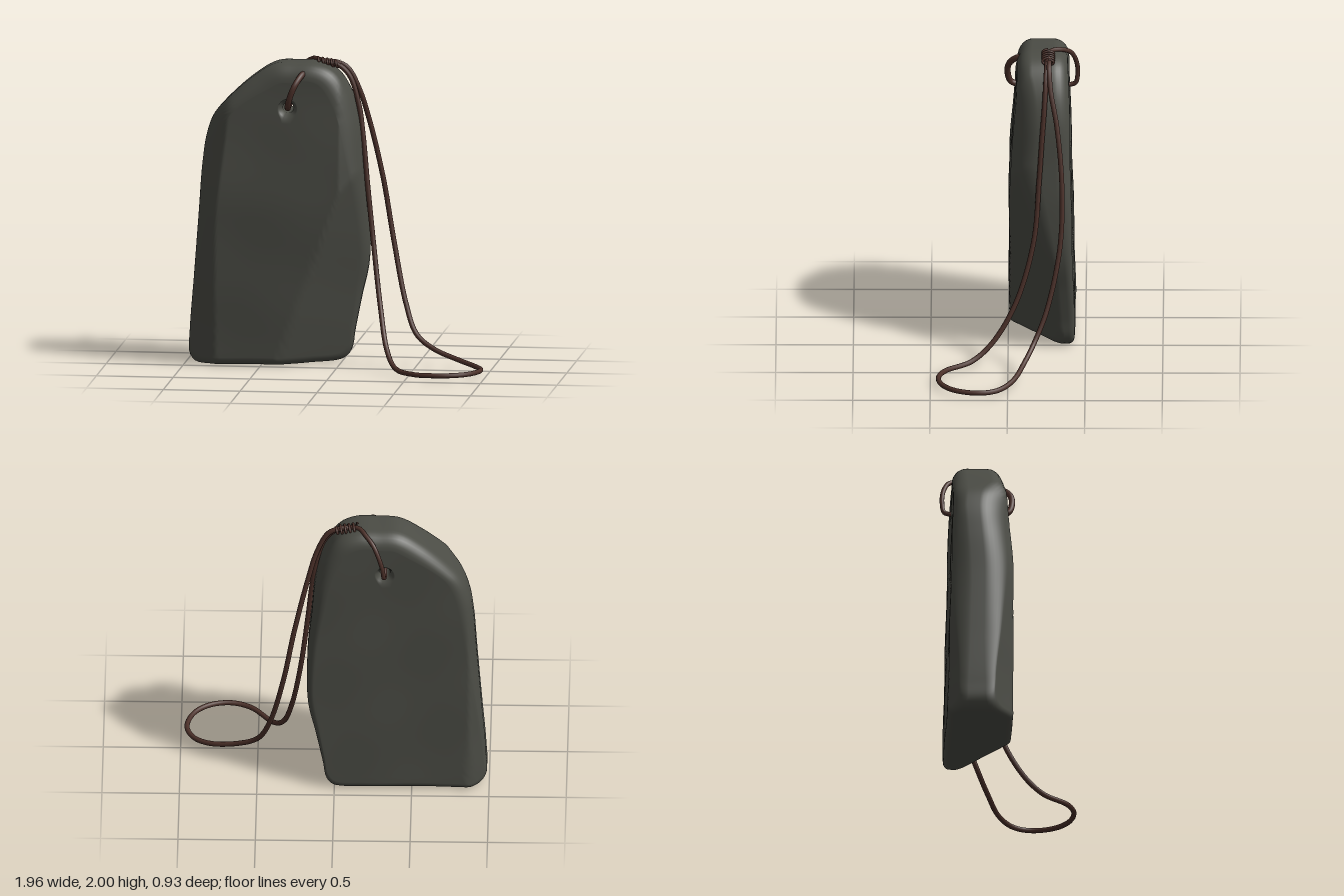
import * as THREE from 'three';

const V = (a) => a.map((p) => new THREE.Vector3(...p));
const HOLE = { x: -0.325, y: 1.69, r: 0.058, inner: 0.035 };
const smooth = THREE.MathUtils.smoothstep;

// Surface rules of the stone
const bevelAt = (y, front) => 0.05 + (front ? 0.07 : 0.045) * smooth(y, 0.05, 1.0);
const bump = (x, y) => 0.004 * Math.sin(7 * x + 4 * y) * Math.sin(6 * y - 3 * x + 1);
const frontZ = (x, y) => {
  const facet = 0.82 * (0.94 * (x + 0.4) - 0.34 * y); // slanted cut, lower corner
  const shoulder = 0.45 * (x - 0.01); // gentle fall to the cord side
  const side = 0.75 * (-x - 0.8 + 0.08 * smooth(y, 0.8, 1.7)); // chamfer along the other edge
  return -0.005 - 0.05 * smooth(y, 1.0, 1.9) - Math.max(0, facet, shoulder, side) + bump(x, y);
};
const backZ = (x, y) => -0.435 + 0.025 * y + 0.7 * Math.max(0, -x - 0.87) + bump(x + 2, y);

// Stone slab: rings run from the hole, over the front, round the rim, over the back and home
function stoneGeometry() {
  const outline = new THREE.CatmullRomCurve3(V([
    [-0.5, 0.012, 0], [-0.8, 0.008, 0], [-0.94, 0.012, 0], [-0.98, 0.06, 0], [-0.98, 0.2, 0],
    [-0.95, 0.6, 0], [-0.92, 1.0, 0], [-0.9, 1.3, 0], [-0.875, 1.48, 0], [-0.83, 1.61, 0],
    [-0.76, 1.7, 0], [-0.575, 1.87, 0], [-0.42, 1.965, 0], [-0.28, 1.975, 0], [-0.14, 1.97, 0],
    [-0.03, 1.92, 0], [0.06, 1.79, 0], [0.12, 1.6, 0], [0.15, 1.3, 0], [0.175, 1.0, 0],
    [0.17, 0.65, 0], [0.12, 0.42, 0], [0.075, 0.2, 0], [0.05, 0.07, 0], [0.0, 0.015, 0],
    [-0.2, 0.006, 0],
  ]), true).getSpacedPoints(200).slice(0, -1).reverse(); // counterclockwise from the front

  // Profile steps: f = travel from hole to bevel, e = angle round the bevel
  const half = [{ hole: 1 }];
  for (let i = 0; i <= 36; i++) half.push({ f: i / 36 });
  for (let i = 1; i <= 7; i++) half.push({ f: 1, e: (i / 7) * Math.PI / 2 });
  const steps = [
    ...half.map((s) => ({ ...s, front: true })),
    ...half.slice().reverse().map((s) => ({ ...s, front: false })),
  ];

  const pos = [], index = [], n = outline.length, m = steps.length;
  for (const p of outline) {
    const dx = p.x - HOLE.x, dy = p.y - HOLE.y, D = Math.hypot(dx, dy);
    const thickness = Math.max(0.02, frontZ(p.x, p.y) - backZ(p.x, p.y));
    for (const s of steps) {
      const e = s.e || 0, b = bevelAt(p.y, s.front);
      const r = s.hole ? HOLE.inner
        : e ? D - b * (1 - Math.sin(e)) : HOLE.r + (D - b - HOLE.r) * s.f;
      const x = HOLE.x + dx / D * r, y = HOLE.y + dy / D * r;
      const sink = (s.hole ? 0.035 : 0) + Math.min(b, 0.1, 0.35 * thickness) * (1 - Math.cos(e));
      pos.push(x, y, s.front ? frontZ(x, y) - sink : backZ(x, y) + sink);
    }
  }
  for (let i = 0; i < n; i++) {
    for (let j = 0; j < m; j++) {
      const i2 = (i + 1) % n, j2 = (j + 1) % m;
      const a = i * m + j, b = i * m + j2, c = i2 * m + j2, d = i2 * m + j;
      index.push(a, b, c, a, c, d);
    }
  }
  const g = new THREE.BufferGeometry();
  g.setAttribute('position', new THREE.Float32BufferAttribute(pos, 3));
  g.setIndex(index);
  g.computeVertexNormals();
  return g;
}

export function createModel() {
  const group = new THREE.Group();
  const stone = new THREE.MeshStandardMaterial({ color: 0x4b4c45 });
  stone.name = 'darkStone';
  const leather = new THREE.MeshStandardMaterial({ color: 0x4b3029 });
  leather.name = 'brownLeather';

  const add = (name, geometry, material) => {
    const mesh = new THREE.Mesh(geometry, material);
    mesh.name = name;
    group.add(mesh);
  };
  const cord = (name, points, radius, segments) => add(name,
    new THREE.TubeGeometry(new THREE.CatmullRomCurve3(V(points)), segments, radius, 10), leather);

  add('stoneSlab', stoneGeometry(), stone);

  // Cord from the front of the stone, through the hole
  cord('frontCord', [
    [-0.21, 1.92, -0.14], [-0.235, 1.905, -0.06], [-0.27, 1.85, -0.005], [-0.3, 1.78, 0.005],
    [-0.32, 1.71, -0.015], [-0.325, 1.69, -0.06], [-0.325, 1.705, -0.12], [-0.325, 1.705, -0.22],
  ], 0.02, 50);
  // Out of the back and up to the knot
  cord('backCord', [
    [-0.325, 1.705, -0.22], [-0.325, 1.7, -0.34], [-0.325, 1.685, -0.4], [-0.32, 1.7, -0.435],
    [-0.31, 1.78, -0.448], [-0.285, 1.865, -0.438], [-0.25, 1.935, -0.405], [-0.2, 1.973, -0.345],
    [-0.165, 1.982, -0.29], [-0.12, 1.976, -0.262], [0, 1.955, -0.255],
  ], 0.015, 70);

  // Binding wound round the cords
  const coil = [];
  for (let i = 0; i <= 60; i++) {
    const t = i / 60, a = t * Math.PI * 10;
    coil.push([-0.15 + 0.14 * t, 1.973 - 0.02 * t + 0.021 * Math.cos(a), -0.258 + 0.036 * Math.sin(a)]);
  }
  cord('cordBinding', coil, 0.008, 200);

  // Long loop hanging down the side and lying on the ground
  cord('hangingLoop', [
    [-0.12, 1.97, -0.255], [-0.03, 1.965, -0.265], [0.04, 1.93, -0.265], [0.11, 1.8, -0.275],
    [0.175, 1.58, -0.315], [0.26, 1.2, -0.348], [0.33, 0.8, -0.335], [0.42, 0.4, -0.25],
    [0.5, 0.21, -0.17], [0.62, 0.125, -0.11], [0.8, 0.065, -0.035], [0.915, 0.042, 0.06],
    [0.962, 0.04, 0.18], [0.92, 0.04, 0.33], [0.82, 0.04, 0.42], [0.68, 0.04, 0.447],
    [0.55, 0.038, 0.4], [0.41, 0.05, 0.23], [0.34, 0.15, 0.1], [0.28, 0.4, -0.05],
    [0.22, 0.8, -0.165], [0.175, 1.2, -0.2], [0.145, 1.5, -0.22], [0.115, 1.7, -0.235],
    [0.055, 1.88, -0.245], [-0.02, 1.95, -0.25], [-0.12, 1.965, -0.25],
  ], 0.0165, 260);

  return group;
}
